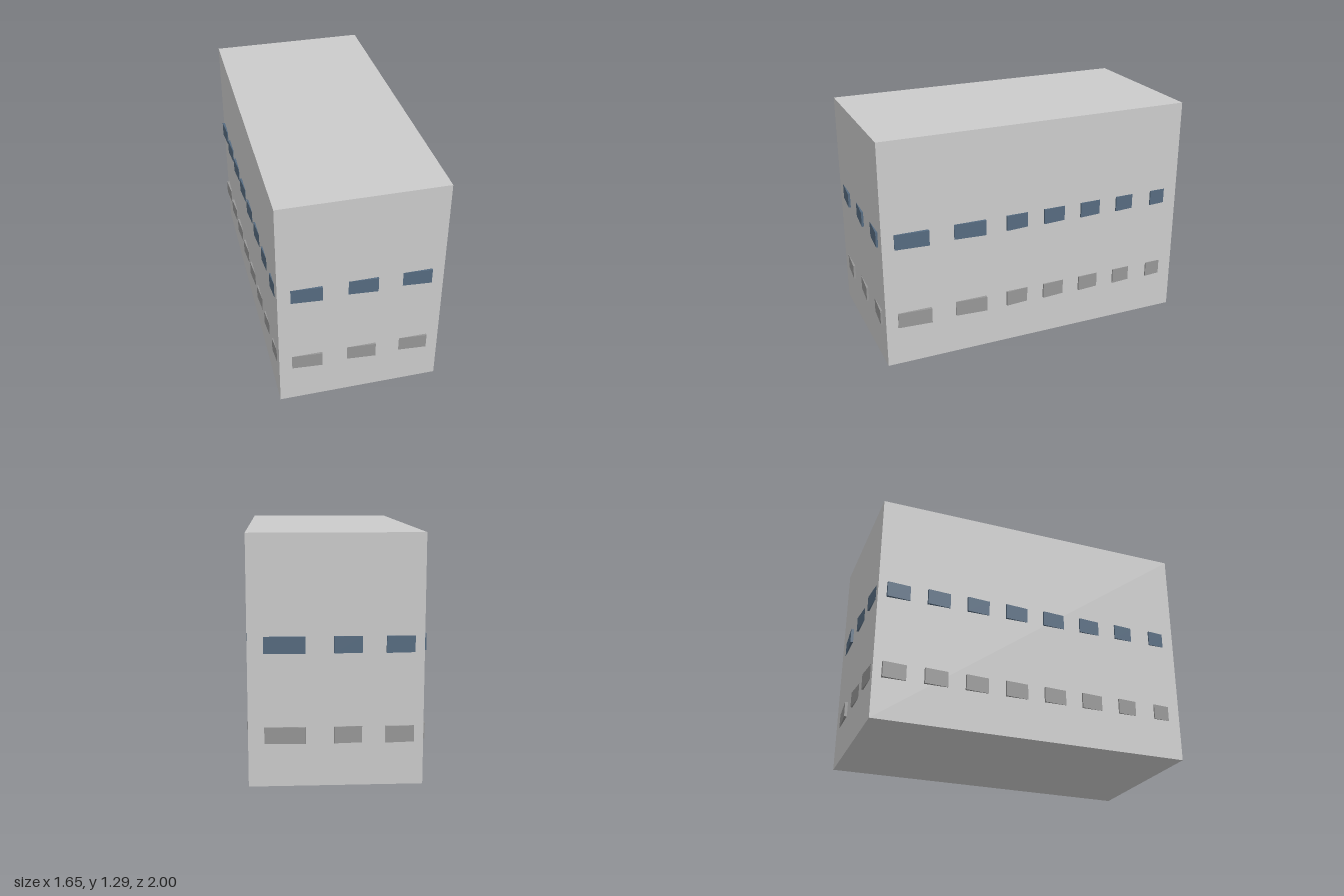
import * as THREE from 'three';

const HEIGHT = 1.288, LENGTH = 1.79, WIDTH = 0.89;
const corners = [[-0.82, 0.567], [-0.041, 1], [0.82, -0.567], [0.041, -1]];

const wallMat = new THREE.MeshStandardMaterial({ color: 0xcccccc });
const upperMat = new THREE.MeshStandardMaterial({ color: 0x566b80 });
const lowerMat = new THREE.MeshStandardMaterial({ color: 0x979797 });

// Evenly spaced windows as [start, end, proud end] along a wall
const row = (count, start, pitch, width) =>
  Array.from({ length: count }, (_, i) => [start + i * pitch, start + i * pitch + width, -1]);

// Window layout of each wall, measured from its left corner seen from outside
const walls = [
  { name: 'frontWall', windows: [[0.066, 0.233, 1], [0.371, 0.53, 1], [0.663, 0.82, 1]] },
  { name: 'rightWall', windows: [[0.067, 0.256, 1], [0.399, 0.58, 1], ...row(5, 0.702, 0.2275, 0.128)] },
  { name: 'backWall', windows: [[0.078, 0.288, 1], [0.43, 0.574, -1], [0.693, 0.839, -1]] },
  { name: 'leftWall', windows: row(8, 0.046, 0.2255, 0.128) },
];

// A thin panel, slightly turned so that one end stands proud of the wall
function makeWindow(name, [start, end, proudEnd], y, material) {
  const width = end - start, depth = 0.03;
  const proud = width * 0.075;
  const mesh = new THREE.Mesh(new THREE.BoxGeometry(width, 0.086, depth), material);
  mesh.name = name;
  mesh.position.set((start + end) / 2, y, 0.001 + proud / 2 - depth / 2);
  mesh.rotation.y = -proudEnd * Math.asin(proud / width);
  return mesh;
}

export function createModel() {
  const group = new THREE.Group();
  group.name = 'building';

  // Main block, turned on its plot
  const block = new THREE.Mesh(new THREE.BoxGeometry(WIDTH, HEIGHT, LENGTH), wallMat);
  block.name = 'block';
  block.position.y = HEIGHT / 2;
  block.rotation.y = Math.atan2(corners[0][1] - corners[1][1], corners[1][0] - corners[0][0]);
  group.add(block);

  // Two rows of windows on every wall
  walls.forEach(({ name, windows }, i) => {
    const [x0, z0] = corners[i], [x1, z1] = corners[(i + 1) % 4];
    const wall = new THREE.Group();
    wall.name = name + 'Windows';
    wall.position.set(x0, 0, z0);
    wall.rotation.y = Math.atan2(z0 - z1, x1 - x0);
    for (const w of windows) {
      wall.add(makeWindow('lowerWindow', w, 0.268, lowerMat));
      wall.add(makeWindow('upperWindow', w, 0.733, upperMat));
    }
    group.add(wall);
  });
  return group;
}
